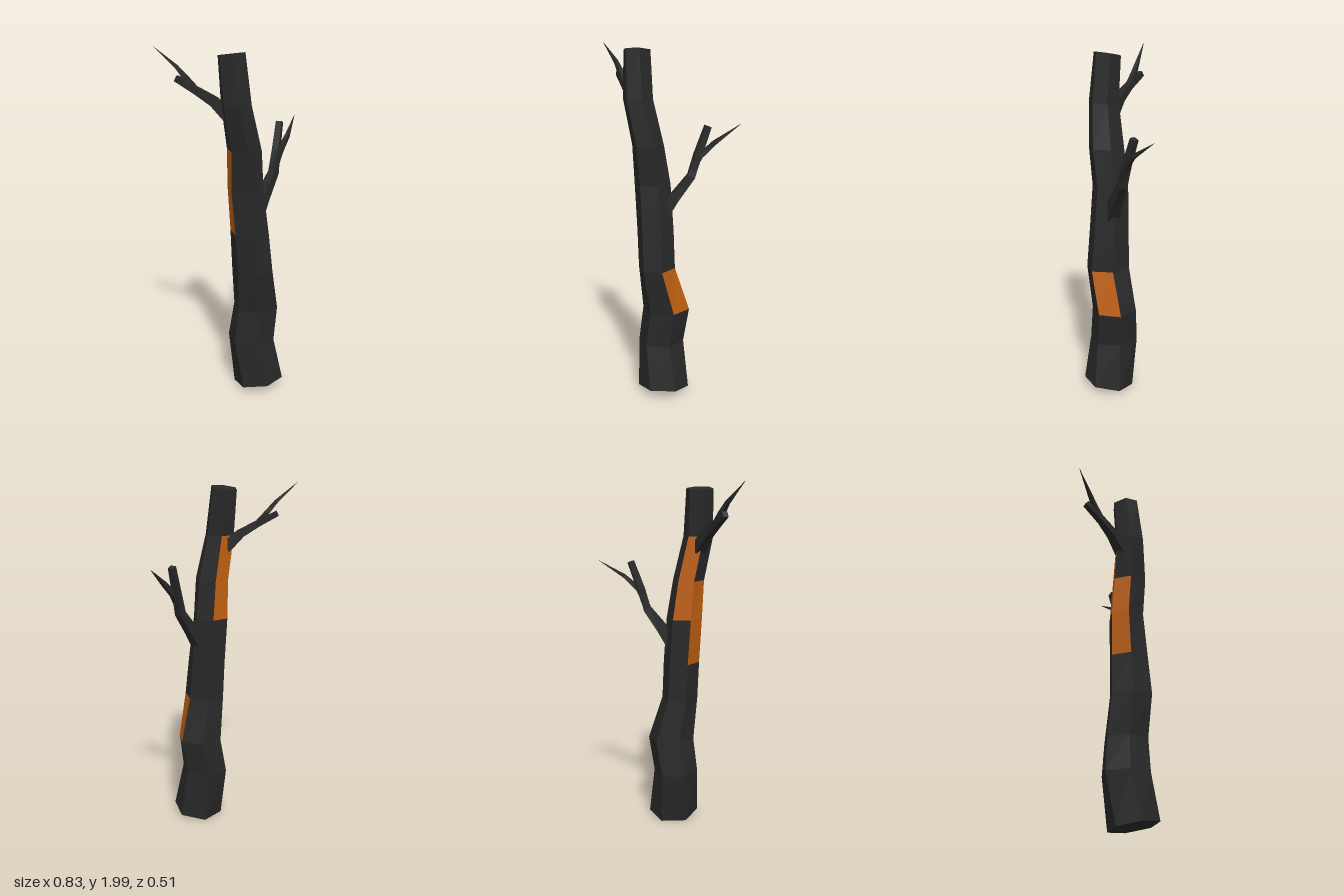
import * as THREE from 'three';

const bark = new THREE.MeshStandardMaterial({ color: 0x282828 });
bark.name = 'charredBark';
const wood = new THREE.MeshStandardMaterial({ color: 0xbc5e10 });
wood.name = 'exposedWood';

// Skins a list of rings with flat faces and closes both ends.
// isWood(segment, side) picks the faces of bare wood.
function loft(rings, name, isWood = () => false) {
  const faces = [[], []];
  const n = rings[0].length;
  const centre = (r) => r.reduce((s, p) => s.add(p), new THREE.Vector3()).divideScalar(n);
  const first = rings[0], last = rings[rings.length - 1];
  const c0 = centre(first), c1 = centre(last);
  for (let k = 0; k < n; k++) {
    const j = (k + 1) % n;
    for (let i = 0; i < rings.length - 1; i++) {
      const [a, b, c, d] = [rings[i][k], rings[i][j], rings[i + 1][k], rings[i + 1][j]];
      faces[isWood(i, k) ? 1 : 0].push(a, c, b, b, c, d);
    }
    faces[0].push(c0, first[k], first[j], c1, last[j], last[k]);
  }
  const geo = new THREE.BufferGeometry().setFromPoints([...faces[0], ...faces[1]]);
  geo.addGroup(0, faces[0].length, 0);
  geo.addGroup(faces[0].length, faces[1].length, 1);
  geo.computeVertexNormals();
  const mesh = new THREE.Mesh(geo, [bark, wood]);
  mesh.name = name;
  return mesh;
}

// Four-sided limb along points [x, y, z, radius].
function limb(name, path) {
  const pts = path.map(([x, y, z]) => new THREE.Vector3(x, y, z));
  const rings = pts.map((p, i) => {
    const t = pts[Math.min(i + 1, pts.length - 1)].clone().sub(pts[Math.max(i - 1, 0)]).normalize();
    const u = new THREE.Vector3(0, 1, 0).cross(t).normalize();
    const v = u.clone().cross(t);
    return [0, 1, 2, 3].map((k) => {
      const a = (k + 0.5) * Math.PI / 2;
      return p.clone()
        .addScaledVector(u, Math.cos(a) * path[i][3])
        .addScaledVector(v, Math.sin(a) * path[i][3]);
    });
  });
  return loft(rings, name);
}

export function createModel() {
  const tree = new THREE.Group();
  tree.name = 'burntTree';

  // Crooked six-sided trunk: y, centre x, centre z, radius x, radius z, twist, end slope
  const sections = [
    [0.025, 0, 0.12, 0.145, 0.143, 0, 0.17],
    [0.30, -0.02, 0.078, 0.13, 0.142, 8, 0],
    [0.50, 0.01, 0.085, 0.135, 0.13, 10, 0],
    [0.75, -0.04, 0.105, 0.105, 0.13, 10, 0],
    [0.97, -0.05, 0.093, 0.105, 0.118, 10, 0],
    [1.23, -0.068, 0.078, 0.103, 0.105, 10, 0],
    [1.45, -0.09, 0.092, 0.09, 0.105, 10, 0],
    [1.70, -0.145, 0.088, 0.085, 0.088, 12, 0],
    [1.964, -0.154, 0.062, 0.077, 0.08, 15, 0.15],
  ];
  const rings = sections.map(([y, cx, cz, rx, rz, twist, slope]) =>
    Array.from({ length: 6 }, (_, k) => {
      const a = THREE.MathUtils.degToRad(-8 + twist + k * 60);
      const dz = Math.sin(a) * rz;
      return new THREE.Vector3(cx + Math.cos(a) * rx, y + dz * slope, cz + dz);
    }));
  // Bare patches: low at the front, two staggered ones at the back
  const patches = ['2,0', '4,3', '5,3', '5,4', '6,4'];
  tree.add(loft(rings, 'trunk', (i, k) => patches.includes(`${i},${k}`)));

  // Left limb with a broken end and a thorn-like twig
  tree.add(limb('leftBranch', [
    [0.0, 1.07, 0.095, 0.05], [0.06, 1.16, 0.092, 0.042],
    [0.15, 1.28, 0.085, 0.032], [0.185, 1.40, 0.07, 0.028], [0.237, 1.555, 0.045, 0.024],
  ]));
  tree.add(limb('leftTwig', [
    [0.155, 1.31, 0.085, 0.024], [0.20, 1.395, 0.083, 0.022],
    [0.28, 1.47, 0.068, 0.016], [0.412, 1.563, 0.0, 0.001],
  ]));

  // Right limb, higher up and reaching backward
  tree.add(limb('rightBranch', [
    [-0.15, 1.63, 0.04, 0.045], [-0.20, 1.71, -0.025, 0.036],
    [-0.255, 1.765, -0.10, 0.027], [-0.315, 1.828, -0.20, 0.022],
  ]));
  tree.add(limb('rightTwig', [
    [-0.255, 1.765, -0.10, 0.022], [-0.29, 1.83, -0.145, 0.02],
    [-0.325, 1.89, -0.18, 0.014], [-0.415, 1.995, -0.253, 0.001],
  ]));
  return tree;
}
